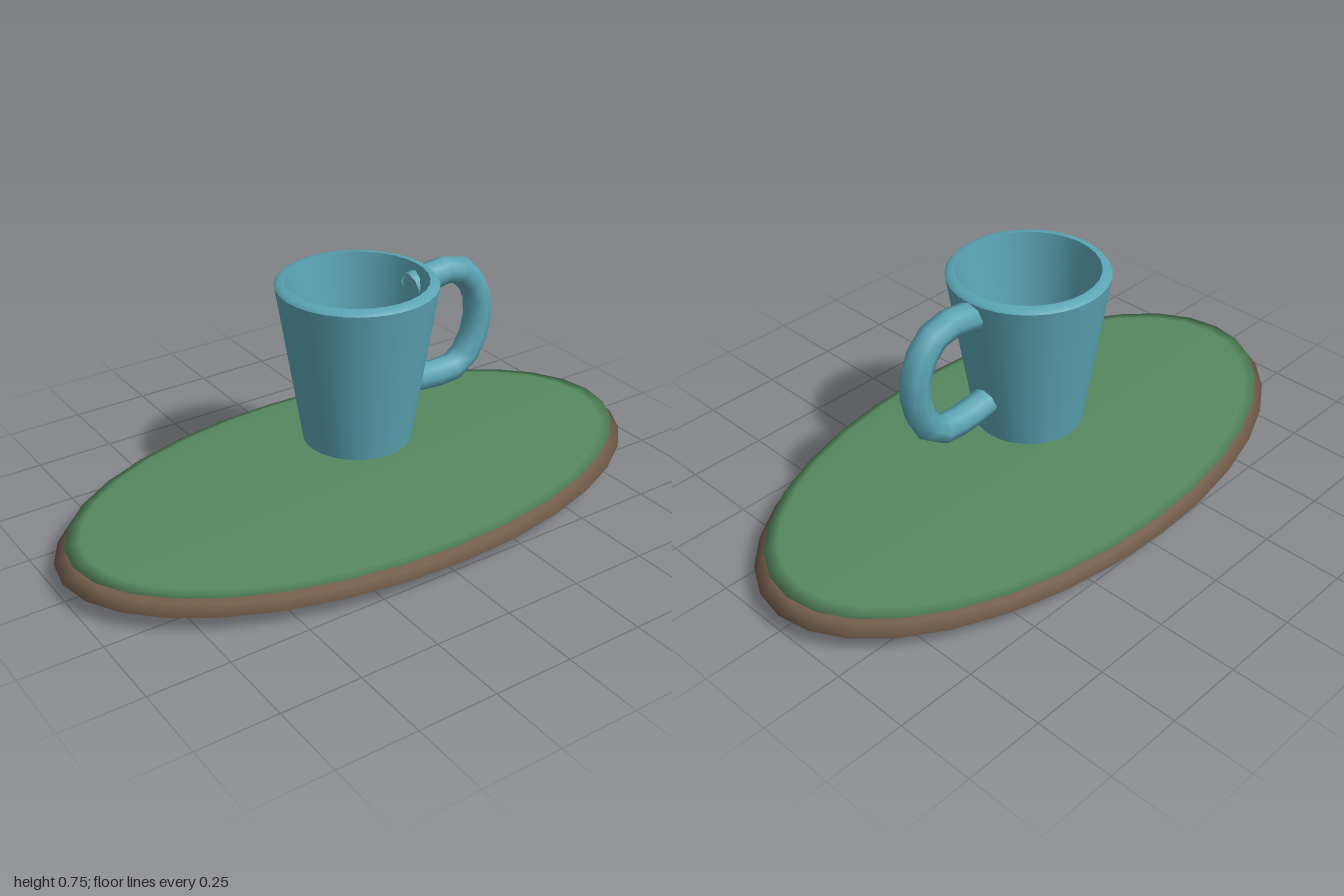
import * as THREE from 'three';

const material = (name, color, side = THREE.FrontSide) => {
  const m = new THREE.MeshStandardMaterial({ color, side });
  m.name = name;
  return m;
};

export function createModel() {
  const blue = material('blue glaze', 0x5ba5b4, THREE.DoubleSide);
  const green = material('green top', 0x55895f);
  const brown = material('brown underside', 0x735d4a);

  const model = new THREE.Group();
  model.name = 'cupAndPlate';

  const add = (name, geometry, mat, parent = model) => {
    const mesh = new THREE.Mesh(geometry, mat);
    mesh.name = name;
    parent.add(mesh);
    return mesh;
  };

  // Oval plate: two flattened ellipsoids, one lying on the other
  const disc = (name, mat, rx, ry, rz, y) => {
    const geometry = new THREE.SphereGeometry(1, 32, 10);
    geometry.scale(rx, ry, rz);
    add(name, geometry, mat).position.y = y;
  };
  disc('plateBase', brown, 1, 0.057, 0.545, 0.057);
  disc('plateTop', green, 0.965, 0.018, 0.522, 0.102);

  // Cup: one lathe per surface so that the edges between them stay sharp
  const cup = new THREE.Group();
  cup.name = 'cup';
  model.add(cup);
  const profiles = {
    cupBase: [[0, 0.23], [0.168, 0.23]],
    cupWall: [[0.168, 0.23], [0.245, 0.733]],
    cupRim: [[0.245, 0.733], [0.236, 0.743], [0.215, 0.746]],
    cupInside: [[0.215, 0.746], [0.208, 0.70], [0.155, 0.32], [0.13, 0.275], [0.08, 0.26], [0, 0.258]],
  };
  for (const [name, points] of Object.entries(profiles)) {
    const profile = points.map(([r, y]) => new THREE.Vector2(r, y));
    add(name, new THREE.LatheGeometry(profile, 32), blue, cup);
  }

  // Handle: round tube whose ends run into the cup wall
  const path = new THREE.CatmullRomCurve3([
    [0.195, 0.675], [0.29, 0.695], [0.37, 0.692], [0.435, 0.63], [0.461, 0.53],
    [0.437, 0.43], [0.385, 0.365], [0.30, 0.353], [0.172, 0.367],
  ].map(([x, y]) => new THREE.Vector3(x, y, 0)));
  add('handle', new THREE.TubeGeometry(path, 12, 0.045, 8), blue, cup);

  return model;
}
